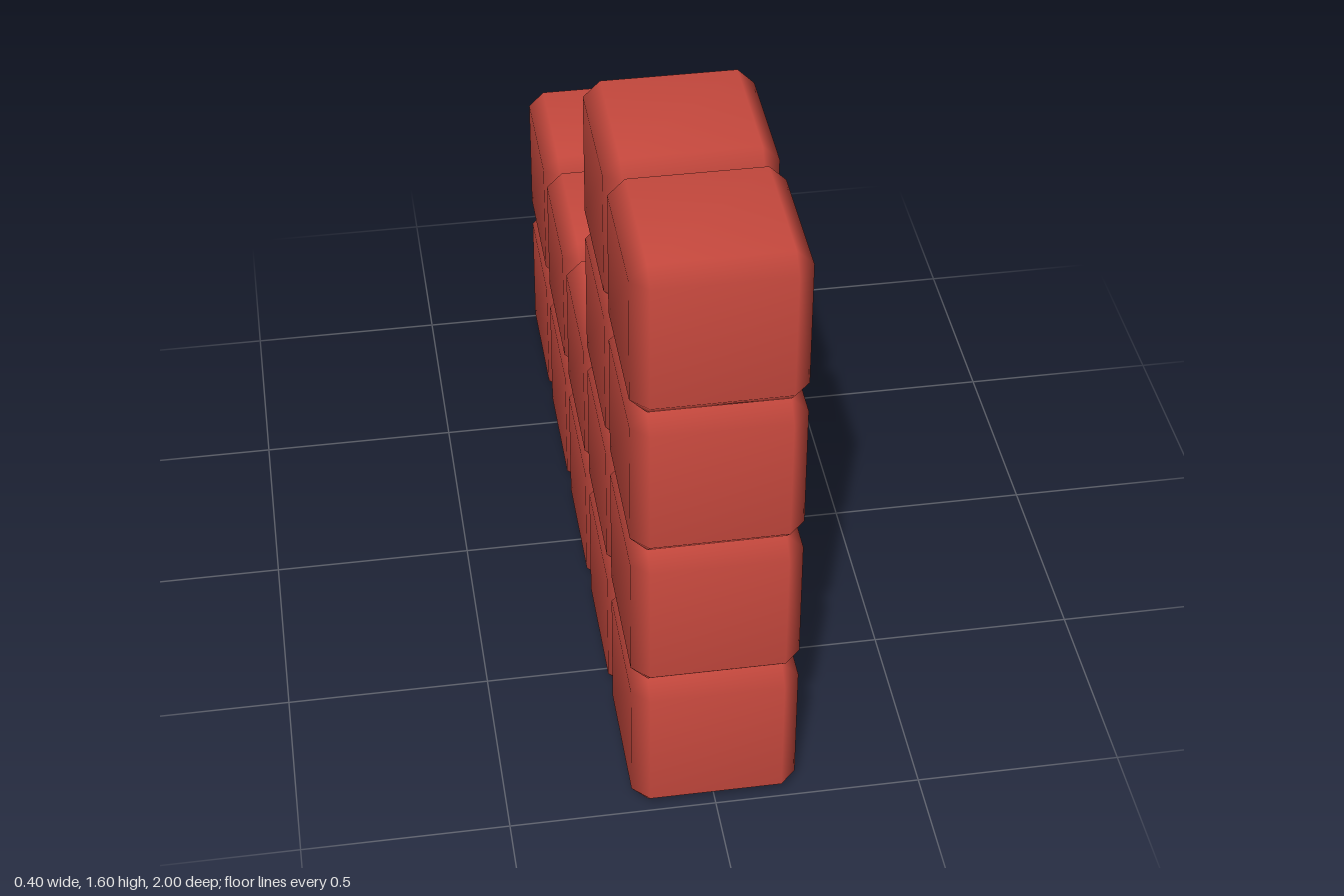
import * as THREE from 'three';
import { ConvexGeometry } from 'three/addons/geometries/ConvexGeometry.js';
import { mergeVertices } from 'three/addons/utils/BufferGeometryUtils.js';

const SIZE = 0.4;
const BEVEL = 0.04;

// Cube with bevelled edges and cut corners, smooth shaded across the bevels
function bevelledCube(size, bevel) {
  const outer = size / 2, inner = outer - bevel;
  const points = [];
  for (const sx of [-1, 1]) for (const sy of [-1, 1]) for (const sz of [-1, 1]) {
    points.push(
      new THREE.Vector3(sx * outer, sy * inner, sz * inner),
      new THREE.Vector3(sx * inner, sy * outer, sz * inner),
      new THREE.Vector3(sx * inner, sy * inner, sz * outer)
    );
  }
  const hull = new ConvexGeometry(points);
  hull.deleteAttribute('normal');
  const geometry = mergeVertices(hull);
  geometry.computeVertexNormals();
  return geometry;
}

export function createModel() {
  const model = new THREE.Group();
  model.name = 'blockWall';
  const geometry = bevelledCube(SIZE, BEVEL);
  const material = new THREE.MeshStandardMaterial({ color: 0xc8493e });

  // Number of blocks in each column, from front to back
  const heights = [4, 4, 2, 2, 2];
  heights.forEach((height, column) => {
    const stack = new THREE.Group();
    stack.name = `blockColumn${column + 1}`;
    stack.position.z = ((heights.length - 1) / 2 - column) * SIZE;
    for (let row = 0; row < height; row++) {
      const block = new THREE.Mesh(geometry, material);
      block.name = `block${row + 1}`;
      block.position.y = (row + 0.5) * SIZE;
      stack.add(block);
    }
    model.add(stack);
  });
  return model;
}
